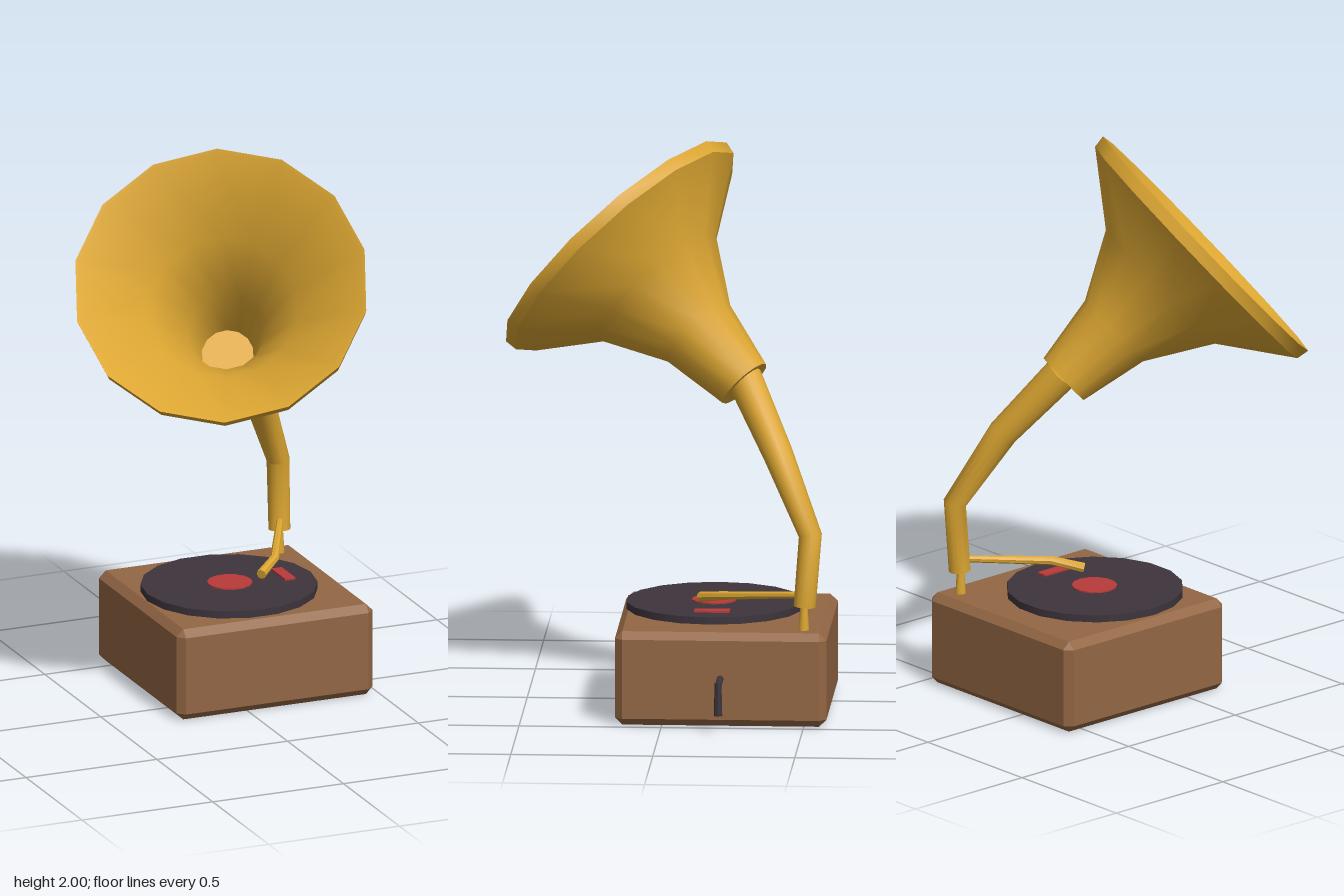
import * as THREE from 'three';
import { toCreasedNormals } from 'three/addons/utils/BufferGeometryUtils.js';
import { ConvexGeometry } from 'three/addons/geometries/ConvexGeometry.js';

const material = (name, color) => {
  const m = new THREE.MeshStandardMaterial({ color });
  m.name = name;
  return m;
};

// Tapered tube through [x, y, z, radius] stations, closed at both ends
function taperedTube(stations, sides) {
  const pts = stations.map(([x, y, z]) => new THREE.Vector3(x, y, z));
  const last = pts.length - 1;
  const positions = [], index = [];
  const ring = (k, radius) => {
    const tangent = new THREE.Vector3();
    if (k > 0) tangent.add(pts[k].clone().sub(pts[k - 1]).normalize());
    if (k < last) tangent.add(pts[k + 1].clone().sub(pts[k]).normalize());
    const q = new THREE.Quaternion().setFromUnitVectors(new THREE.Vector3(0, 1, 0), tangent.normalize());
    for (let j = 0; j < sides; j++) {
      const a = (j / sides) * Math.PI * 2;
      const p = new THREE.Vector3(Math.sin(a) * radius, 0, Math.cos(a) * radius);
      positions.push(...p.applyQuaternion(q).add(pts[k]).toArray());
    }
  };
  ring(0, 0);
  stations.forEach((s, k) => ring(k, s[3]));
  ring(last, 0);
  for (let i = 0; i < stations.length + 1; i++) {
    for (let j = 0; j < sides; j++) {
      const n = (j + 1) % sides;
      const a = i * sides + j, b = i * sides + n, c = b + sides, d = a + sides;
      if (i < stations.length) index.push(a, c, d);
      if (i > 0) index.push(a, b, c);
    }
  }
  const g = new THREE.BufferGeometry();
  g.setAttribute('position', new THREE.Float32BufferAttribute(positions, 3));
  g.setIndex(index);
  return toCreasedNormals(g, 0.75);
}

// Box with every edge cut at 45 degrees
function chamferedBox(w, h, d, c) {
  const points = [];
  for (const x of [-1, 1]) for (const y of [-1, 1]) for (const z of [-1, 1]) {
    for (let axis = 0; axis < 3; axis++) {
      const p = [w / 2 - c, h / 2 - c, d / 2 - c];
      p[axis] += c;
      points.push(new THREE.Vector3(x * p[0], y * p[1], z * p[2]));
    }
  }
  return new ConvexGeometry(points);
}

export function createModel() {
  const model = new THREE.Group();
  model.name = 'gramophone';
  const wood = material('wood', 0x936644);
  const brass = material('brass', 0xdca632);
  const dark = material('dark', 0x3d343c);
  const red = material('red', 0xb83a3a);

  const add = (name, geometry, mat, x = 0, y = 0, z = 0) => {
    const mesh = new THREE.Mesh(geometry, mat);
    mesh.name = name;
    mesh.position.set(x, y, z);
    model.add(mesh);
    return mesh;
  };
  const disc = (radius, height, sides) =>
    new THREE.CylinderGeometry(radius, radius, height, sides).rotateY(Math.PI / sides);

  // Cabinet
  add('cabinet', chamferedBox(0.75, 0.335, 0.745, 0.026), wood, 0.105, 0.1675, -0.2075);

  // Turntable
  add('turntableSpindle', disc(0.04, 0.02, 12), dark, 0.06, 0.34, -0.163);
  add('record', disc(0.312, 0.026, 18), dark, 0.06, 0.358, -0.163);
  add('recordLabel', disc(0.08, 0.006, 14), red, 0.063, 0.373, -0.163);
  add('speedLever', new THREE.BoxGeometry(0.04, 0.008, 0.125), red, 0.27, 0.374, -0.167);

  // Crank
  add('crankShaft', taperedTube([[0.47, 0.174, -0.207, 0.012], [0.608, 0.168, -0.207, 0.012]], 8), dark);
  add('crankHandle', taperedTube([[0.606, 0.066, -0.207, 0.015], [0.606, 0.184, -0.207, 0.012]], 8), dark);

  // Post, neck and tone arm
  add('post', taperedTube([[0.395, 0.33, -0.497, 0.019], [0.395, 0.44, -0.497, 0.012]], 10), brass);
  add('neck', taperedTube([
    [0.397, 0.42, -0.5, 0.039], [0.4, 0.675, -0.52, 0.041],
    [0.28, 0.94, -0.4, 0.053], [0.11, 1.18, -0.27, 0.063],
  ], 14), brass);
  add('toneArm', taperedTube([
    [0.4, 0.462, -0.5, 0.012], [0.25, 0.425, -0.2, 0.016], [0.165, 0.402, -0.12, 0.018],
  ], 8), brass);

  // Horn: outside from collar to lip, then back down the inside
  const profile = [
    [0, 0], [0.102, 0], [0.148, 0.245], [0.277, 0.47], [0.515, 0.645], [0.522, 0.69],
    [0.508, 0.682], [0.265, 0.485], [0.136, 0.25], [0.092, 0.06], [0, 0.06],
  ].map(([r, h]) => new THREE.Vector2(r, h));
  const horn = add('horn', toCreasedNormals(new THREE.LatheGeometry(profile, 14), 0.7), brass, 0.104, 1.156, -0.271);
  const axis = new THREE.Vector3(-0.33, 0.662, 0.673).normalize();
  const side = new THREE.Vector3().crossVectors(axis, new THREE.Vector3(0.124, 0.387, -0.323)).normalize();
  const up = new THREE.Vector3().crossVectors(side, axis);
  horn.quaternion.setFromRotationMatrix(new THREE.Matrix4().makeBasis(side, axis, up));

  return model;
}
